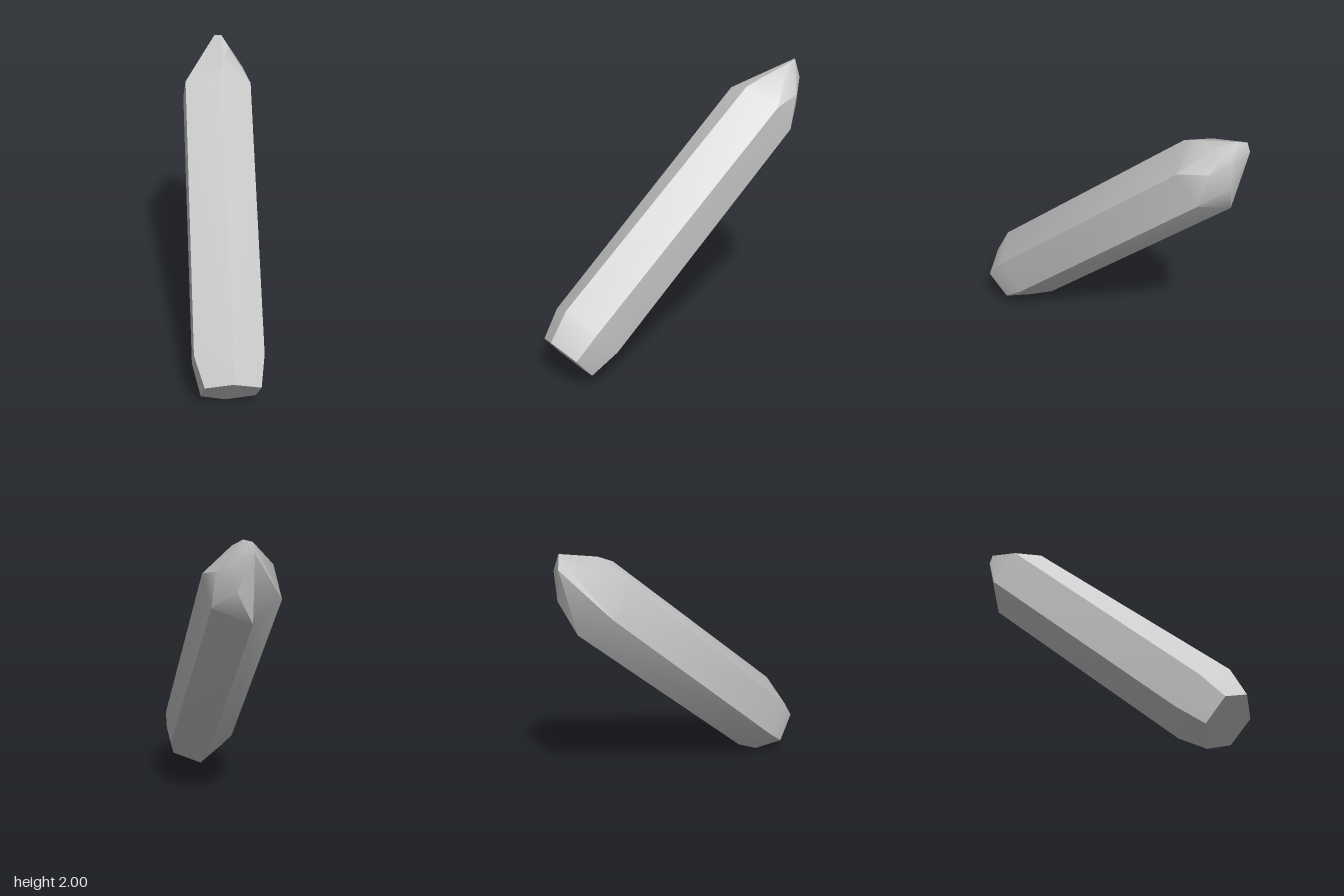
import * as THREE from 'three';
import { ConvexGeometry } from 'three/addons/geometries/ConvexGeometry.js';
import { toCreasedNormals } from 'three/addons/utils/BufferGeometryUtils.js';

// Corners of a leaning six-sided crystal, listed ring by ring from the base up
const baseCap = [
  [0.475, 0.265, 0.885], [0.66, 0.33, 0.81], [0.76, 0.24, 0.623],
  [0.65, 0.075, 0.533], [0.45, 0, 0.613], [0.37, 0.1, 0.793],
];
const lowerRing = [
  [0.33, 0.43, 0.81], [0.59, 0.54, 0.71], [0.69, 0.41, 0.49],
  [0.57, 0.22, 0.36], [0.31, 0.11, 0.46], [0.21, 0.24, 0.68],
];
const upperRing = [
  [-0.64, 1.785, -0.39], [-0.41, 1.86, -0.5], [-0.294, 1.745, -0.725],
  [-0.415, 1.545, -0.825], [-0.67, 1.45, -0.745], [-0.765, 1.585, -0.52],
];
// Irregular facets of the point
const tip = [
  [-0.455, 1.91, -0.6], [-0.466, 1.79, -0.86], [-0.62, 1.67, -0.868],
  [-0.735, 1.92, -0.855], [-0.62, 1.88, -0.885], [-0.54, 1.95, -0.785],
  [-0.715, 1.99, -0.85], [-0.65, 2, -0.85],
];

export function createModel() {
  const group = new THREE.Group();
  group.name = 'crystal';
  const stone = new THREE.MeshStandardMaterial({ color: 0xcccccc });
  stone.name = 'pale grey stone';

  // Faceted shaft, sharp along its long edges and soft between shallow facets
  const corners = [...baseCap, ...lowerRing, ...upperRing, ...tip]
    .map((p) => new THREE.Vector3(...p));
  const shaft = new THREE.Mesh(toCreasedNormals(new ConvexGeometry(corners), 0.52), stone);
  shaft.name = 'crystalShaft';
  group.add(shaft);
  return group;
}
